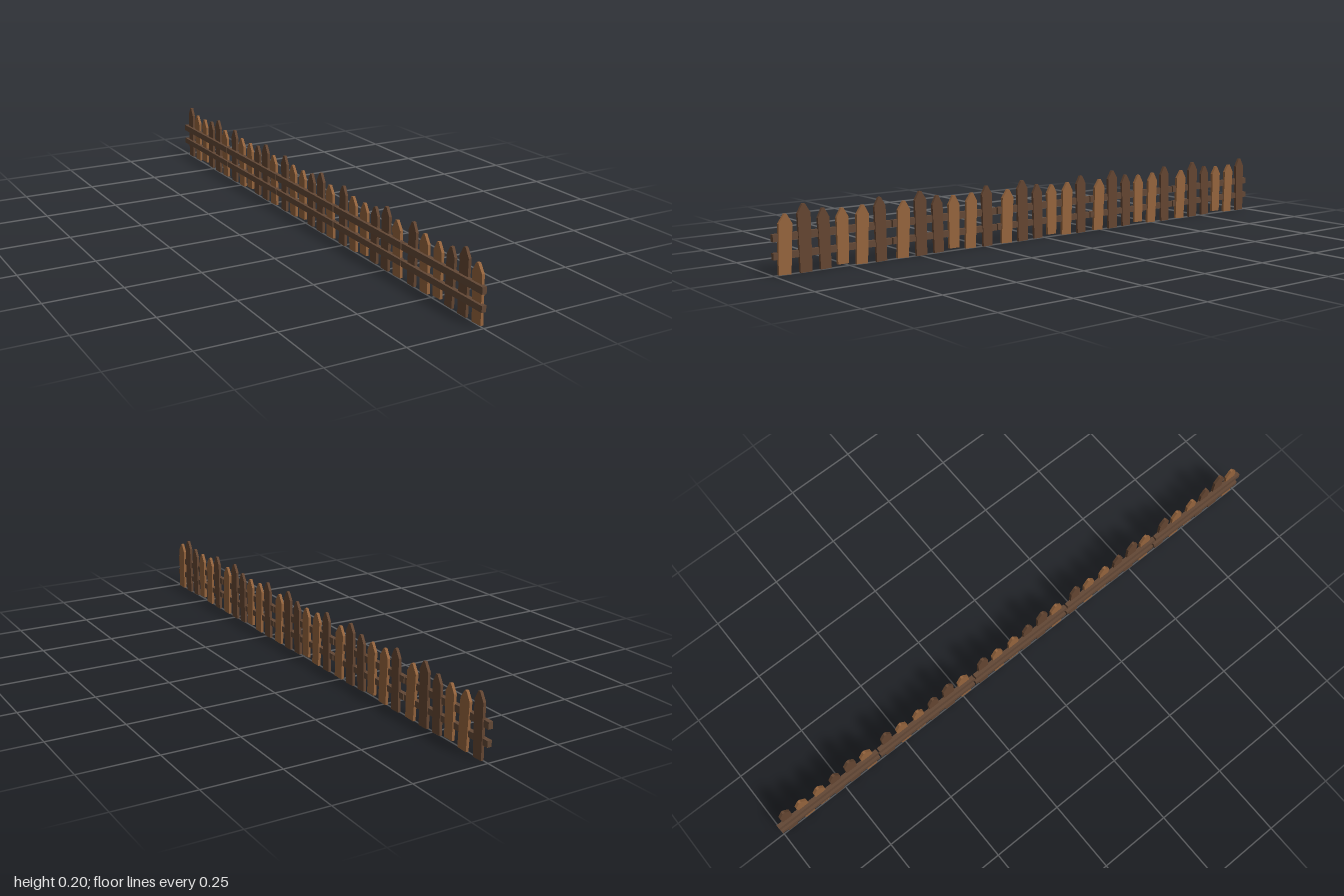
import * as THREE from 'three';

export function createModel() {
  const fence = new THREE.Group();
  fence.name = 'picketFence';

  const paint = (name, color) => {
    const m = new THREE.MeshStandardMaterial({ color });
    m.name = name;
    return m;
  };
  const lightWood = paint('lightWood', 0x94633c);
  const darkWood = paint('darkWood', 0x634531);
  const railWood = paint('railWood', 0x624735);

  const SECTIONS = 5, PITCH = 0.401, RAIL_LENGTH = 0.396;
  const THICKNESS = 0.0095;

  // Pickets of one section: z offset, bottom, top, width, lean, wood
  const pickets = [
    [0.165, 0.002, 0.180, 0.044, -0.04, lightWood],
    [0.096, 0.001, 0.205, 0.042, 0.015, darkWood],
    [0.031, 0.003, 0.186, 0.038, 0.03, darkWood],
    [-0.027, 0.010, 0.180, 0.040, 0.0, lightWood],
    [-0.091, 0.002, 0.182, 0.042, -0.035, lightWood],
    [-0.160, 0.001, 0.200, 0.039, 0.02, darkWood],
  ];

  // Board with a pointed, slightly blunted top; thickness runs along x
  function picketGeometry(height, width) {
    const w = width / 2, shoulder = height - 0.028, tip = 0.004;
    const shape = new THREE.Shape([
      new THREE.Vector2(-w * 0.92, 0),
      new THREE.Vector2(w * 0.92, 0),
      new THREE.Vector2(w, shoulder),
      new THREE.Vector2(tip, height),
      new THREE.Vector2(-tip, height),
      new THREE.Vector2(-w, shoulder),
    ]);
    return new THREE.ExtrudeGeometry(shape, { depth: THICKNESS, bevelEnabled: false })
      .rotateY(Math.PI / 2);
  }
  const picketShapes = pickets.map(([, bottom, top, width]) => picketGeometry(top - bottom, width));

  // Rails: centre x, centre y, height
  const rails = [
    ['upperRail', -0.003, 0.112, 0.022],
    ['lowerRail', -0.002, 0.058, 0.020],
  ];

  for (let s = 0; s < SECTIONS; s++) {
    const section = new THREE.Group();
    section.name = 'fenceSection' + (s + 1);
    section.position.z = ((SECTIONS - 1) / 2 - s) * PITCH;

    pickets.forEach(([z, bottom, , , lean, wood], i) => {
      const picket = new THREE.Mesh(picketShapes[i], wood);
      picket.name = 'picket' + (i + 1);
      picket.position.set(-0.001, bottom, z);
      picket.rotation.x = lean;
      section.add(picket);
    });

    for (const [name, x, y, height] of rails) {
      const rail = new THREE.Mesh(new THREE.BoxGeometry(0.015, height, RAIL_LENGTH), railWood);
      rail.name = name;
      rail.position.set(x, y, 0);
      section.add(rail);
    }
    fence.add(section);
  }
  return fence;
}
